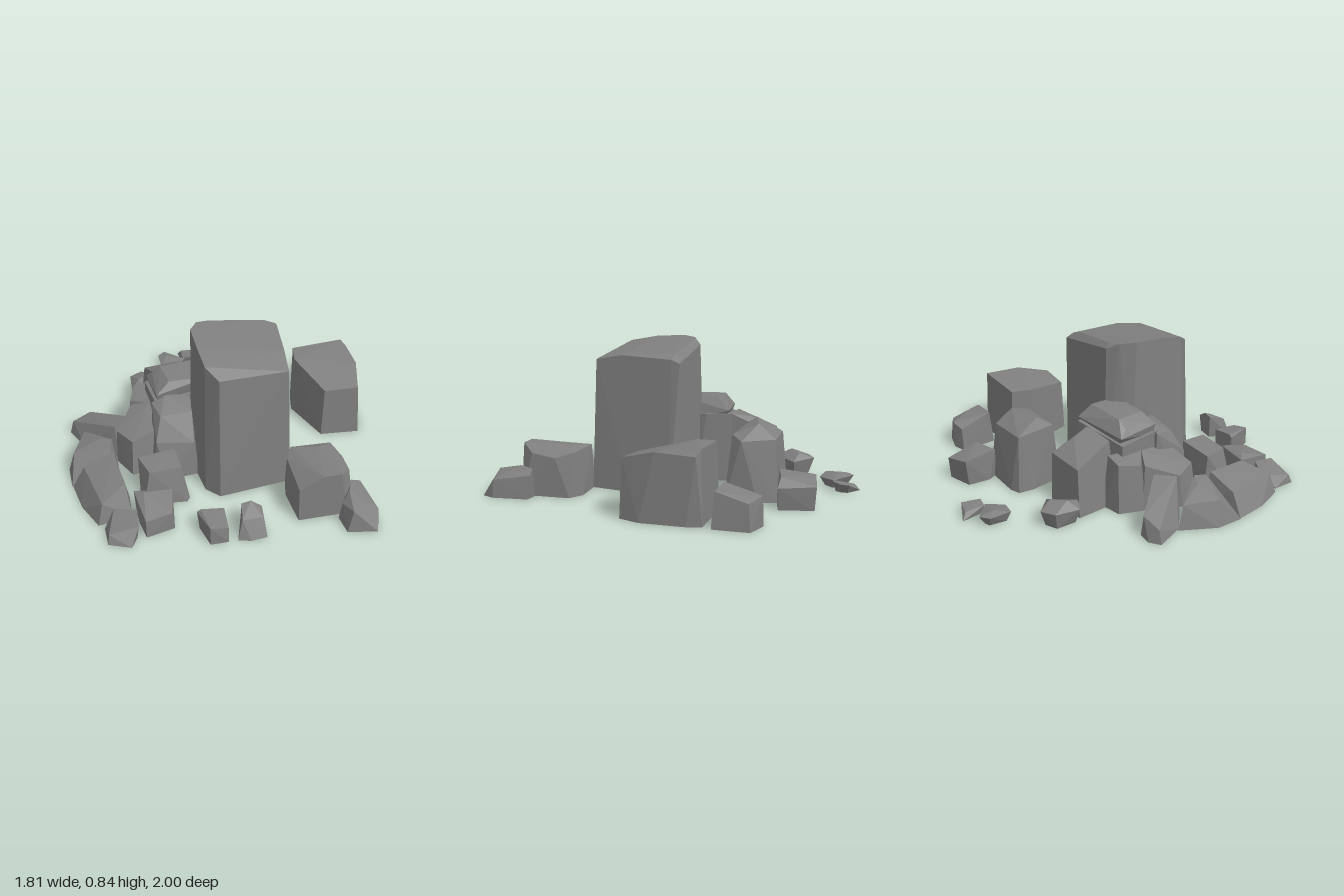
import * as THREE from 'three';
import { ConvexGeometry } from 'three/addons/geometries/ConvexGeometry.js';

const stone = new THREE.MeshStandardMaterial({ color: 0x808080, side: THREE.DoubleSide });
stone.name = 'grey stone';

// A rock is the faceted hull of a foot outline [x, z] at height floor and
// upper corners [x, y, z], open underneath.
function rock(name, foot, upper, floor = 0) {
  const points = [
    ...foot.map(([x, z]) => new THREE.Vector3(x, floor, z)),
    ...upper.map(([x, y, z]) => new THREE.Vector3(x, y, z)),
  ];
  const pos = new ConvexGeometry(points).getAttribute('position');
  const kept = [];
  for (let i = 0; i < pos.count; i += 3) {
    if (Math.max(pos.getY(i), pos.getY(i + 1), pos.getY(i + 2)) < floor + 1e-4) continue;
    for (let k = i; k < i + 3; k++) kept.push(pos.getX(k), pos.getY(k), pos.getZ(k));
  }
  const geometry = new THREE.BufferGeometry();
  geometry.setAttribute('position', new THREE.Float32BufferAttribute(kept, 3));
  geometry.computeVertexNormals();
  const mesh = new THREE.Mesh(geometry, stone);
  mesh.name = name;
  return mesh;
}

export function createModel() {
  const group = new THREE.Group();
  group.name = 'rockCluster';
  const add = (...args) => group.add(rock(...args));

  // Tall central block with a sloping top
  add('centralPillar',
    [[-.07, -.07], [.36, -.05], [.39, 0], [.36, .25], [.32, .48], [-.1, .53], [-.17, .45], [-.19, .24], [-.17, .05]],
    [[-.12, .835, .0], [-.06, .8, -.05], [-.04, .825, -.02], [.28, .79, -.01], [.35, .74, -.05], [.35, .76, 0],
      [.31, .77, .3], [.29, .74, .46], [-.1, .75, .49], [-.16, .8, .41], [-.17, .84, .08], [-.17, .83, .25]]);

  // Rocks on the left side of the model (+x)
  add('broadBoulder',
    [[.56, -.33], [.88, -.33], [.905, -.25], [.905, 0], [.86, .12], [.63, .1], [.53, -.2]],
    [[.56, .375, -.32], [.87, .395, -.32], [.9, .36, -.3], [.89, .37, -.08], [.84, .32, .11], [.64, .31, .09], [.535, .37, -.2]]);
  add('outerBackRock',
    [[.7, -.6], [.78, -.62], [.905, -.58], [.905, -.38], [.71, -.38]],
    [[.71, .14, -.6], [.79, .16, -.615], [.89, .14, -.57], [.87, .18, -.46], [.72, .2, -.4], [.88, .19, -.39]]);
  add('backCornerRock',
    [[.29, -.78], [.44, -.82], [.48, -.63], [.31, -.59], [.28, -.65]],
    [[.28, .16, -.8], [.44, .13, -.83], [.49, .12, -.63], [.45, .175, -.64], [.29, .18, -.6]]);
  add('backBoulder',
    [[.04, -.59], [.1, -.61], [.35, -.6], [.38, -.5], [.37, -.31], [.06, -.3], [.03, -.5]],
    [[.06, .34, -.57], [.3, .34, -.58], [.06, .36, -.34], [.32, .36, -.34], [.28, .42, -.48], [.09, .42, -.43], [.36, .33, -.4]]);
  add('frontBoulder',
    [[.26, .6], [.29, .48], [.5, .47], [.58, .52], [.59, .8], [.55, .82], [.27, .82]],
    [[.27, .23, .56], [.31, .25, .49], [.54, .25, .5], [.58, .22, .6], [.57, .24, .74], [.5, .28, .82],
      [.4, .28, .82], [.27, .2, .81], [.45, .27, .55]]);
  add('frontCornerRock',
    [[.49, .85], [.6, .72], [.67, .73], [.69, .93], [.66, 1], [.5, .97]],
    [[.59, .155, .73], [.65, .13, .72], [.68, .1, .93], [.53, .13, .96], [.5, .11, .86], [.55, .16, .82]]);

  // Small stones at the front
  add('smallFrontStone',
    [[-.27, .76], [-.25, .74], [-.14, .74], [-.14, .9], [-.24, .9]],
    [[-.28, .1, .74], [-.26, .115, .74], [-.13, .1, .74], [-.14, .09, .89], [-.24, .11, .9]]);
  add('innerFrontStone',
    [[-.04, .77], [.06, .79], [.07, .91], [-.02, .92], [-.09, .9]],
    [[-.04, .14, .77], [.01, .15, .77], [.07, .11, .78], [.06, .1, .86], [-.06, .11, .87]]);

  // Low rocks spreading over the right side of the model (-x)
  add('squareFrontRock',
    [[-.54, .47], [-.52, .32], [-.31, .32], [-.27, .5], [-.29, .53], [-.53, .51]],
    [[-.53, .2, .33], [-.32, .22, .32], [-.31, .21, .48], [-.49, .2, .48]]);
  add('flatFrontRock',
    [[-.58, .55], [-.39, .57], [-.4, .73], [-.56, .77], [-.58, .65]],
    [[-.59, .14, .54], [-.38, .14, .57], [-.41, .11, .73], [-.56, .1, .76], [-.54, .155, .58]]);
  add('frontEdgeStone',
    [[-.77, .65], [-.63, .6], [-.59, .66], [-.61, .76], [-.65, .83], [-.77, .78]],
    [[-.71, .08, .59], [-.59, .1, .65], [-.6, .09, .77], [-.76, .05, .76]]);
  add('longSideRock',
    [[-.9, .26], [-.63, .2], [-.6, .42], [-.61, .58], [-.8, .62], [-.87, .45]],
    [[-.83, .13, .26], [-.66, .19, .24], [-.63, .17, .5], [-.77, .12, .59]]);
  add('middleSideRock',
    [[-.905, .1], [-.8, -.1], [-.62, .12], [-.63, .25], [-.7, .28], [-.905, .26]],
    [[-.87, .145, .13], [-.79, .14, -.06], [-.65, .2, .13], [-.72, .19, .1], [-.67, .19, .2]]);
  add('slantedSideRock',
    [[-.86, -.26], [-.8, -.3], [-.72, -.29], [-.5, -.05], [-.6, .06], [-.68, .01], [-.79, -.09]],
    [[-.84, .08, -.26], [-.73, .12, -.28], [-.53, .21, -.06], [-.62, .21, .03]]);
  add('innerSideRock',
    [[-.62, .08], [-.52, -.12], [-.38, -.1], [-.34, .2], [-.55, .23]],
    [[-.61, .2, .06], [-.5, .26, -.1], [-.4, .3, -.05], [-.36, .27, .16], [-.54, .21, .2]]);

  // Stacked rocks leaning against the pillar
  add('wedgeRock',
    [[-.53, -.12], [-.48, -.26], [-.35, -.28], [-.33, .02], [-.45, -.02]],
    [[-.5, .27, -.13], [-.46, .29, -.25], [-.36, .31, -.25], [-.36, .3, -.02]]);
  add('leaningBackRock',
    [[-.39, -.46], [-.12, -.47], [-.1, -.25], [-.37, -.2]],
    [[-.36, .28, -.45], [-.12, .29, -.46], [-.16, .37, -.34], [-.12, .39, -.22], [-.33, .38, -.22]]);
  add('stackedLowerRock',
    [[-.4, -.18], [-.05, -.24], [0, -.05], [-.1, .08], [-.38, .08]],
    [[-.4, .36, -.18], [-.05, .4, -.24], [-.01, .4, -.1], [-.04, .4, .05], [-.38, .38, .08]]);
  add('stackedCapRock',
    [[-.36, -.17], [-.06, -.19], [-.03, 0], [-.36, .06]],
    [[-.39, .4, -.18], [-.04, .42, -.23], [-.36, .44, -.13], [-.31, .48, -.14], [-.07, .49, -.16],
      [-.05, .48, .03], [-.29, .48, .03], [-.37, .42, .07]], .36);
  add('pillarFootRock',
    [[-.4, .05], [-.15, .05], [-.17, .3], [-.35, .32], [-.43, .25]],
    [[-.4, .37, .06], [-.32, .41, .05], [-.18, .39, .06], [-.19, .37, .19], [-.37, .35, .18], [-.41, .22, .25], [-.2, .22, .29]]);

  // Small stones at the back
  add('smallBackStone',
    [[-.41, -.5], [-.41, -.62], [-.34, -.65], [-.27, -.58], [-.36, -.47]],
    [[-.43, .1, -.64], [-.35, .1, -.685], [-.24, .09, -.58], [-.31, .13, -.6], [-.36, .1, -.45], [-.44, .09, -.49], [-.39, .14, -.54]]);
  add('farBackStone',
    [[-.18, -.8], [-.17, -.9], [-.14, -.91], [-.06, -.84], [-.11, -.79]],
    [[-.2, .06, -.91], [-.15, .06, -.95], [-.03, .05, -.85], [-.1, .05, -.76], [-.2, .06, -.78], [-.15, .075, -.87]]);
  add('farBackChip',
    [[-.05, -1], [.03, -.94], [.03, -.9], [.01, -.87], [-.03, -.87]],
    [[-.03, .04, -.97], [.06, .05, -.95], [.05, .05, -.9], [.02, .06, -.85], [-.04, .05, -.86]]);

  return group;
}
